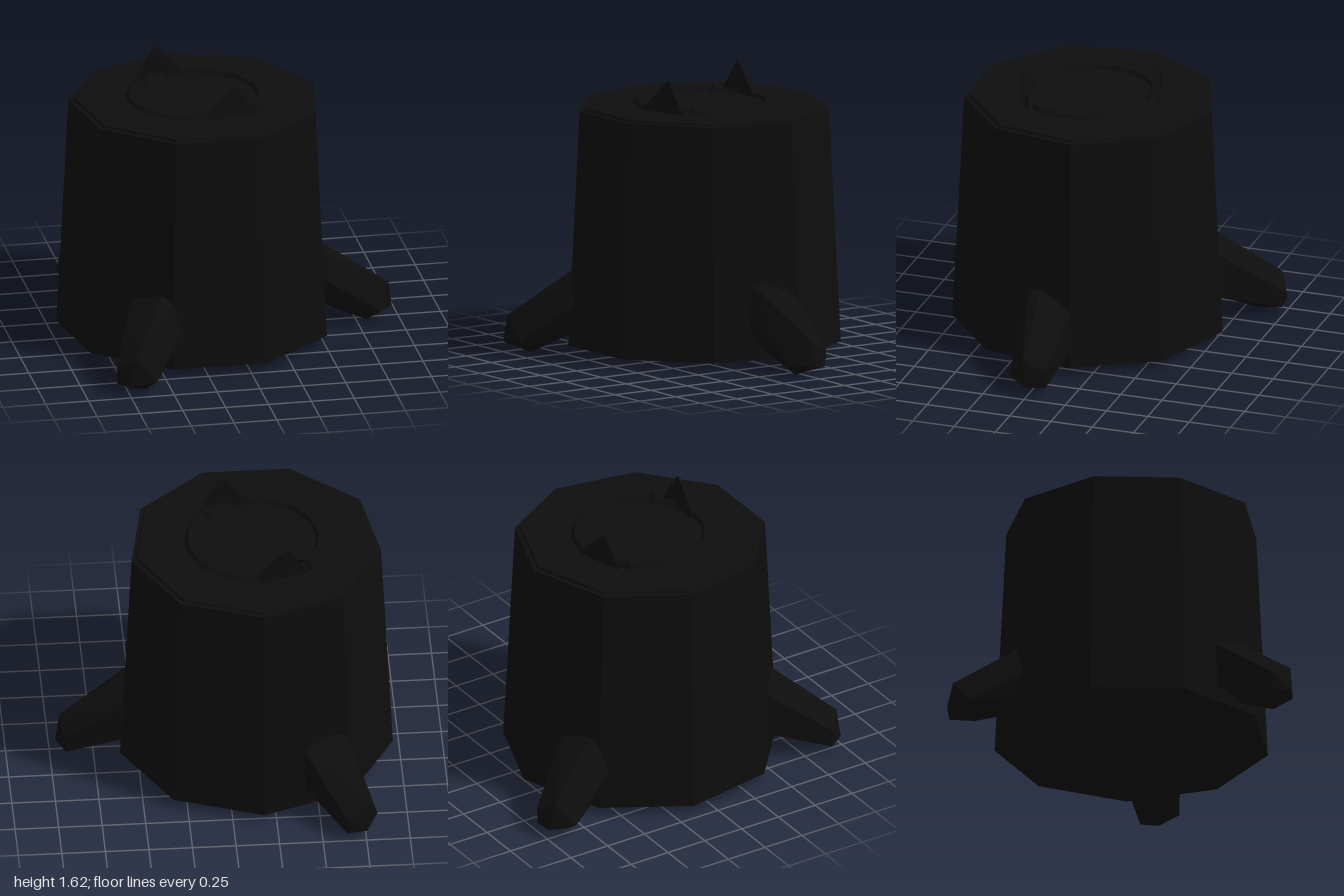
import * as THREE from 'three';
import { ConvexGeometry } from 'three/addons/geometries/ConvexGeometry.js';

const CENTRE_X = -0.18; // trunk axis

export function createModel() {
  const group = new THREE.Group();
  group.name = 'treeStump';
  const bark = new THREE.MeshStandardMaterial({ color: 0x0d0d0d, flatShading: true });

  // All parts are built around the trunk axis, then shifted together
  const stump = new THREE.Group();
  stump.name = 'stump';
  stump.position.x = CENTRE_X;
  group.add(stump);

  const add = (name, geometry, parent = stump) => {
    const mesh = new THREE.Mesh(geometry, bark);
    mesh.name = name;
    parent.add(mesh);
    return mesh;
  };
  const lathe = (profile, sides) =>
    new THREE.LatheGeometry(profile.map(([r, y]) => new THREE.Vector2(r, y)), sides, Math.PI);
  const hull = (points) => new ConvexGeometry(points.map((p) => new THREE.Vector3(...p)));

  // Tapered nine-sided trunk with a small step below the cut face
  add('trunk', lathe([
    [0, 0.055], [0.795, 0.055], [0.727, 1.415], [0.702, 1.415], [0.695, 1.43], [0, 1.43],
  ], 9));

  // Low growth ring on the cut face
  add('growthRing', lathe([
    [0.405, 1.428], [0.385, 1.452], [0.365, 1.452], [0.35, 1.428],
  ], 24));

  // Roots: knobbly tapered limbs; the two rear ones are mirrored copies
  const rootPoints = [
    // buried end
    [0.68, 0.53, 0.06], [0.68, 0.45, -0.15], [0.68, 0.18, -0.15],
    [0.68, 0.14, 0.04], [0.68, 0.17, 0.13], [0.68, 0.34, 0.19], [0.68, 0.5, 0.14],
    // outer end
    [1.12, 0.22, 0.03], [1.10, 0.15, -0.1], [1.09, 0.05, -0.1],
    [1.145, 0.06, 0], [0.99, 0, 0.04], [1.06, 0.08, 0.13],
  ];
  const roots = [['leftRoot', 0, 1], ['frontRoot', -1, -1], ['backRoot', 1, -1]];
  for (const [name, turn, flip] of roots) {
    const root = add(name, hull(rootPoints.map(([x, y, z]) => [x, y, z * flip])));
    root.rotation.y = (turn * Math.PI * 2) / 3;
  }

  // Splinters: a tall and a small one, repeated half a turn round
  for (const side of ['front', 'back']) {
    const pair = new THREE.Group();
    pair.name = side + 'Splinters';
    pair.rotation.y = side === 'front' ? 0 : Math.PI;
    stump.add(pair);
    add('tallSplinter', hull([
      [0, 1.425, 0.338], [0, 1.425, 0.415], [0.285, 1.425, 0.33],
      [0, 1.455, 0.345], [0, 1.445, 0.41], [0.17, 1.62, 0.357],
    ]), pair);
    add('smallSplinter', hull([
      [0.22, 1.425, 0.22], [0.3, 1.425, 0.31], [0.34, 1.425, 0.25],
      [0.25, 1.468, 0.25], [0.3, 1.468, 0.28],
    ]), pair);
  }
  return group;
}
